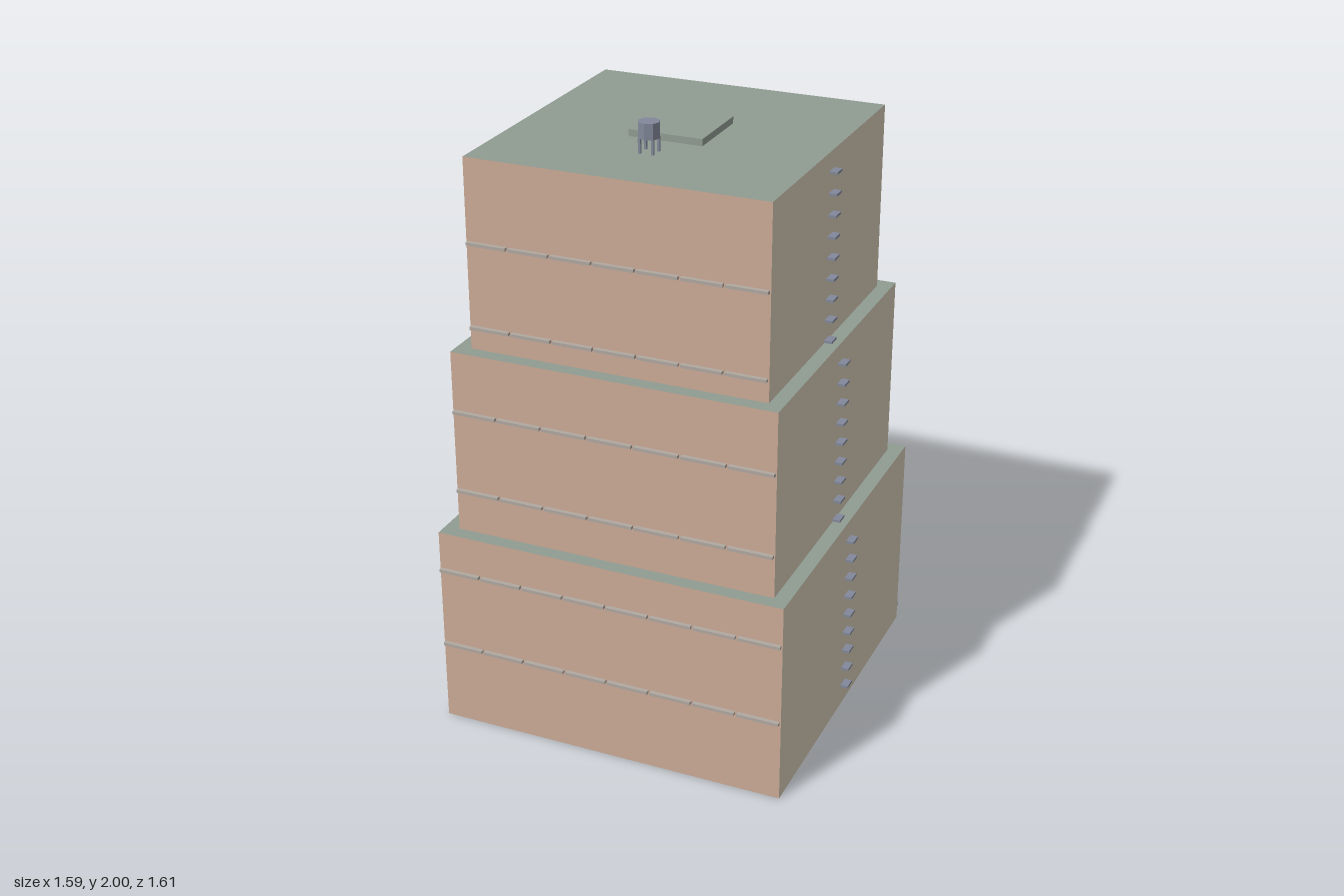
import * as THREE from 'three';

const FLOOR = 0.068;
const material = (color) => new THREE.MeshStandardMaterial({ color, flatShading: true });

export function createModel() {
  const model = new THREE.Group();
  model.name = 'steppedTower';
  const building = new THREE.Group();
  building.name = 'building';
  building.rotation.y = -THREE.MathUtils.degToRad(29);
  building.position.set(-0.004, 0, 0.003);
  model.add(building);

  const brick = material(0xcaa996);
  const plaster = material(0xd0c6b3);
  const roof = material(0x8f9b92);
  const underside = material(0x564e56);
  const ledgeStone = material(0xb0a8a0);
  const metal = material(0x82889a);

  const add = (parent, name, geometry, mat, x, y, z) => {
    const mesh = new THREE.Mesh(geometry, mat);
    mesh.name = name;
    mesh.position.set(x, y, z);
    parent.add(mesh);
    return mesh;
  };

  // Three stacked tiers: half width, first floor, last floor
  const tiers = [
    { name: 'lowerTier', half: 0.581, from: 0, to: 10 },
    { name: 'middleTier', half: 0.5325, from: 10, to: 19 },
    { name: 'upperTier', half: 0.485, from: 19, to: 28 },
  ];
  const faces = [plaster, plaster, roof, underside, brick, brick];

  for (const { name, half, from, to } of tiers) {
    const tier = new THREE.Group();
    tier.name = name;
    building.add(tier);
    const width = half * 2;
    const height = (to - from) * FLOOR;
    add(tier, name + 'Walls', new THREE.BoxGeometry(width, height, width), faces,
      0, from * FLOOR + height / 2, 0);

    const panels = Math.round(width / 0.145);
    const step = width / panels;
    const ledge = new THREE.BoxGeometry(step - 0.008, 0.01, 0.014);
    const rung = new THREE.BoxGeometry(0.025, 0.008, 0.042);

    for (let floor = Math.max(from, 1); floor < to; floor++) {
      const y = floor * FLOOR + 0.005;
      // One balcony step per floor on the left wall
      add(tier, 'wallStep', rung, metal, half + 0.0125, y, 0);
      // Segmented ledges on the front and back every fourth floor
      if (floor % 4 === 0) {
        for (const side of [-1, 1]) {
          for (let i = 0; i < panels; i++) {
            add(tier, 'ledge', ledge, ledgeStone,
              -half + (i + 0.5) * step, y, side * (half + 0.007));
          }
        }
      }
    }
  }

  // Pipe along the foot of the back wall
  const pipe = add(building, 'basePipe', new THREE.CylinderGeometry(0.0105, 0.0105, 1.18, 8),
    metal, -0.01, 0.052, -0.581);
  pipe.rotation.z = Math.PI / 2;

  // Roof hatch
  const top = 28 * FLOOR;
  add(building, 'roofHatch', new THREE.BoxGeometry(0.24, 0.022, 0.24), roof, 0, top + 0.011, 0);

  // Water tank on four legs
  const tank = new THREE.Group();
  tank.name = 'waterTank';
  tank.position.set(-0.002, top, 0.2325);
  building.add(tank);
  add(tank, 'tankBarrel', new THREE.CylinderGeometry(0.034, 0.034, 0.05, 8), metal, 0, 0.071, 0);
  const leg = new THREE.BoxGeometry(0.008, 0.046, 0.008);
  for (const x of [-0.021, 0.021]) {
    for (const z of [-0.021, 0.021]) add(tank, 'tankLeg', leg, metal, x, 0.023, z);
  }

  return model;
}
